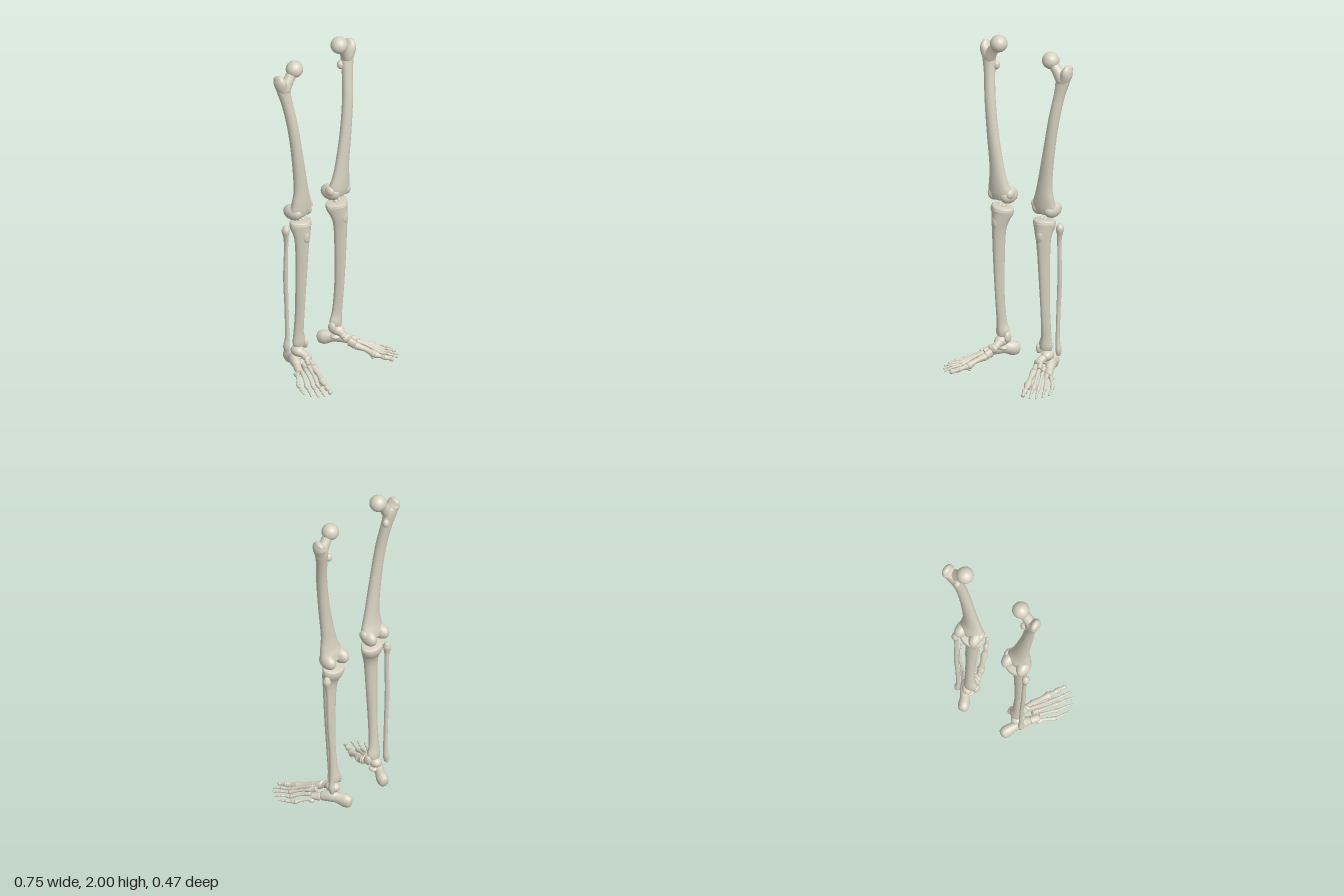
import * as THREE from 'three';

const X = new THREE.Vector3(1, 0, 0), Y = new THREE.Vector3(0, 1, 0);

// Smooth closed bone through stations [x, y, z, a, b]: a is the half-width along
// ref, b the one across it; dome sets the bulge of the ends, keel narrows the front.
function sweep(stations, { ref = X, dome = 0.6, keel = 0, sides = 20, steps = 5 } = {}) {
  const path = new THREE.CatmullRomCurve3(stations.map(s => new THREE.Vector3(s[0], s[1], s[2])), false, 'catmullrom', 0.5);
  const size = new THREE.CatmullRomCurve3(stations.map(s => new THREE.Vector3(s[3], s[4], 0)), false, 'catmullrom', 0.5);
  const n = (stations.length - 1) * steps, capSteps = 4, rings = [];
  const addCap = (t, dir) => {
    const p = path.getPoint(t), d = path.getTangent(t), r = size.getPoint(t);
    const list = [];
    for (let k = 1; k <= capSteps; k++) {
      const q = k / capSteps * Math.PI / 2;
      list.push({
        p: p.clone().addScaledVector(d, dir * Math.sin(q) * dome * Math.min(r.x, r.y)),
        d, a: r.x * Math.cos(q), b: r.y * Math.cos(q)
      });
    }
    return list;
  };
  rings.push(...addCap(0, -1).reverse());
  for (let i = 0; i <= n; i++) {
    const r = size.getPoint(i / n);
    rings.push({ p: path.getPoint(i / n), d: path.getTangent(i / n), a: r.x, b: r.y });
  }
  rings.push(...addCap(1, 1));

  const pos = [], idx = [], last = rings.length - 1;
  const ring = i => 1 + (i - 1) * sides;
  rings.forEach(({ p, d, a, b }, i) => {
    if (i === 0 || i === last) { pos.push(p.x, p.y, p.z); return; }
    const u = ref.clone().addScaledVector(d, -ref.dot(d)).normalize();
    const v = d.clone().cross(u);
    for (let j = 0; j < sides; j++) {
      const q = j / sides * Math.PI * 2;
      const front = Math.max(0, Math.sin(q) * Math.sign(v.z));
      const w = p.clone().addScaledVector(u, Math.cos(q) * a * (1 - keel * front)).addScaledVector(v, Math.sin(q) * b);
      pos.push(w.x, w.y, w.z);
    }
  });
  const end = pos.length / 3 - 1;
  for (let j = 0; j < sides; j++) {
    const k = (j + 1) % sides;
    idx.push(0, ring(1) + k, ring(1) + j, end, ring(last - 1) + j, ring(last - 1) + k);
    for (let i = 1; i < last - 1; i++) {
      const A = ring(i), B = ring(i + 1);
      idx.push(A + j, A + k, B + j, A + k, B + k, B + j);
    }
  }
  const g = new THREE.BufferGeometry();
  g.setAttribute('position', new THREE.Float32BufferAttribute(pos, 3));
  g.setIndex(idx);
  g.computeVertexNormals();
  return g;
}

// Ellipsoid knob
function knob(x, y, z, rx, ry, rz, turn = 0) {
  return new THREE.SphereGeometry(1, 24, 16).scale(rx, ry, rz).rotateY(turn).translate(x, y, z);
}

// Small long bone with flared ends, from p to q
function longBone(p, q, r0, mid, r1, lift = 0) {
  const at = (t, r) => [
    ...p.map((c, i) => c + (q[i] - c) * t + (i === 1 ? lift * Math.sin(t * Math.PI) : 0)), r, r];
  return sweep([at(0, r0), at(0.2, (r0 + mid) / 2), at(0.5, mid), at(0.8, (r1 + mid) / 2), at(0.93, r1), at(1, r1 * 0.8)],
    { ref: Y, sides: 12, steps: 3 });
}

function buildLeg(side, material) {
  const leg = new THREE.Group();
  leg.name = side > 0 ? 'leftLeg' : 'rightLeg';
  const add = (name, g) => {
    if (side < 0) {
      g.scale(-1, 1, 1);
      const ix = g.index.array;
      for (let i = 0; i < ix.length; i += 3) [ix[i], ix[i + 1]] = [ix[i + 1], ix[i]];
      g.computeVertexNormals();
    }
    const m = new THREE.Mesh(g, material);
    m.name = name;
    leg.add(m);
  };

  // Thigh bone
  add('femurShaft', sweep([
    [0.162, 1.025, -0.098, 0.074, 0.044], [0.163, 1.06, -0.092, 0.076, 0.044],
    [0.168, 1.11, -0.085, 0.064, 0.038], [0.176, 1.2, -0.081, 0.047, 0.033],
    [0.205, 1.4, -0.08, 0.036, 0.031], [0.233, 1.6, -0.09, 0.032, 0.031],
    [0.255, 1.75, -0.112, 0.033, 0.031], [0.271, 1.84, -0.127, 0.041, 0.034],
    [0.282, 1.88, -0.13, 0.036, 0.034]], { dome: 0.4, sides: 28 }));
  add('femurHead', knob(0.19, 1.95, -0.115, 0.05, 0.05, 0.05));
  add('femurNeck', sweep([[0.195, 1.942, -0.116, 0.032, 0.034], [0.228, 1.905, -0.118, 0.031, 0.03],
    [0.27, 1.845, -0.122, 0.042, 0.033]], { ref: Y }));
  add('greaterTrochanter', sweep([[0.268, 1.81, -0.125, 0.026, 0.03], [0.287, 1.87, -0.128, 0.034, 0.038],
    [0.297, 1.9, -0.132, 0.029, 0.042], [0.301, 1.925, -0.14, 0.018, 0.032]], { dome: 0.8 }));
  add('lesserTrochanter', knob(0.228, 1.8, -0.14, 0.021, 0.027, 0.02));
  add('medialCondyle', knob(0.114, 1.034, -0.115, 0.038, 0.048, 0.062, 0.1));
  add('lateralCondyle', knob(0.208, 1.034, -0.112, 0.039, 0.046, 0.061, -0.1));
  add('medialEpicondyle', knob(0.092, 1.05, -0.1, 0.02, 0.03, 0.032));

  // Shin bones
  add('tibia', sweep([
    [0.155, 0.162, -0.109, 0.041, 0.031], [0.157, 0.19, -0.108, 0.044, 0.033],
    [0.163, 0.25, -0.105, 0.033, 0.029], [0.166, 0.4, -0.093, 0.029, 0.03],
    [0.166, 0.6, -0.084, 0.035, 0.034], [0.163, 0.8, -0.079, 0.044, 0.039],
    [0.158, 0.88, -0.083, 0.056, 0.048], [0.154, 0.935, -0.096, 0.073, 0.061],
    [0.152, 0.96, -0.098, 0.071, 0.058]], { dome: 0.12, keel: 0.35, sides: 28 }));
  add('tibialTuberosity', knob(0.162, 0.875, -0.05, 0.024, 0.042, 0.018));
  for (const x of [0.14, 0.164]) add('tibialSpine', knob(x, 0.966, -0.1, 0.01, 0.014, 0.018));
  add('medialMalleolus', knob(0.116, 0.158, -0.105, 0.016, 0.033, 0.025));
  add('fibula', sweep([
    [0.216, 0.125, -0.154, 0.011, 0.014], [0.217, 0.16, -0.152, 0.017, 0.02],
    [0.214, 0.22, -0.149, 0.012, 0.014], [0.218, 0.4, -0.15, 0.011, 0.013],
    [0.229, 0.6, -0.148, 0.013, 0.014], [0.231, 0.8, -0.142, 0.011, 0.013],
    [0.236, 0.87, -0.139, 0.014, 0.016], [0.239, 0.915, -0.138, 0.023, 0.024],
    [0.237, 0.938, -0.138, 0.015, 0.017]], { sides: 16 }));

  // Heel, ankle and midfoot
  add('heelBone', sweep([
    [0.138, 0.052, -0.214, 0.037, 0.029], [0.147, 0.056, -0.19, 0.042, 0.033],
    [0.168, 0.066, -0.15, 0.033, 0.027], [0.19, 0.07, -0.115, 0.035, 0.03],
    [0.212, 0.06, -0.075, 0.027, 0.025]], { ref: Y }));
  add('heelShelf', knob(0.16, 0.083, -0.115, 0.033, 0.016, 0.03, 0.3));
  add('talusBody', knob(0.168, 0.124, -0.112, 0.036, 0.032, 0.045, 0.2));
  add('talusHead', sweep([[0.167, 0.118, -0.09, 0.026, 0.028], [0.164, 0.112, -0.067, 0.021, 0.023],
    [0.163, 0.105, -0.05, 0.022, 0.027]], { ref: Y }));
  add('navicular', knob(0.168, 0.098, -0.03, 0.034, 0.026, 0.016, -0.2));
  add('cuboid', sweep([[0.222, 0.056, -0.064, 0.024, 0.024], [0.234, 0.053, -0.045, 0.022, 0.023],
    [0.246, 0.05, -0.024, 0.02, 0.022]], { ref: Y, dome: 0.3 }));
  const cuneiforms = [
    ['medialCuneiform', 0.165, 0.08, -0.016, 0.176, 0.068, 0.016, 0.026, 0.018],
    ['middleCuneiform', 0.19, 0.094, -0.02, 0.2, 0.083, 0.0, 0.019, 0.014],
    ['lateralCuneiform', 0.213, 0.081, -0.028, 0.225, 0.071, -0.002, 0.02, 0.014]];
  for (const [name, x0, y0, z0, x1, y1, z1, h, w] of cuneiforms)
    add(name, sweep([[x0, y0, z0, h, w], [(x0 + x1) / 2, (y0 + y1) / 2, (z0 + z1) / 2, h * 0.93, w * 0.93],
      [x1, y1, z1, h, w]], { ref: Y, dome: 0.3, sides: 14 }));

  // Toes: joint points from metatarsal base to tip, and thickness
  const toes = [
    [[[0.179, 0.064, 0.026], [0.22, 0.028, 0.13], [0.243, 0.02, 0.182], [0.264, 0.013, 0.226]], 0.022],
    [[[0.205, 0.078, 0.01], [0.264, 0.024, 0.13], [0.287, 0.021, 0.175], [0.298, 0.014, 0.2], [0.309, 0.008, 0.222]], 0.0125],
    [[[0.23, 0.068, 0.006], [0.29, 0.021, 0.118], [0.315, 0.018, 0.16], [0.327, 0.012, 0.18], [0.338, 0.007, 0.2]], 0.012],
    [[[0.248, 0.055, -0.006], [0.312, 0.018, 0.087], [0.336, 0.016, 0.13], [0.348, 0.011, 0.148], [0.358, 0.007, 0.164]], 0.0118],
    [[[0.26, 0.038, -0.03], [0.326, 0.016, 0.035], [0.35, 0.014, 0.08], [0.36, 0.01, 0.1], [0.367, 0.007, 0.118]], 0.0125]];
  toes.forEach(([joints, r], t) => {
    for (let i = 0; i < joints.length - 1; i++) {
      const k = r * [1.05, 0.88, 0.72, 0.62][i];
      const p = joints[i].map((c, j) => c + (joints[i + 1][j] - c) * (i ? 0.12 : 0));
      const name = i ? `toe${t + 1}Phalanx${i}` : `metatarsal${t + 1}`;
      add(name, longBone(p, joints[i + 1], k, k * 0.6, k * (i ? 0.85 : 1), i ? 0 : 0.004));
    }
  });
  for (const x of [0.21, 0.228]) add('sesamoid', knob(x, 0.011, 0.122, 0.008, 0.008, 0.011));
  add('outerFootSpur', knob(0.262, 0.034, -0.036, 0.015, 0.013, 0.019, 0.7));
  return leg;
}

export function createModel() {
  const bone = new THREE.MeshStandardMaterial({ color: 0xd6d1c0 });
  bone.name = 'bone';
  const model = new THREE.Group();
  model.name = 'legBones';
  for (const side of [1, -1]) model.add(buildLeg(side, bone));
  return model;
}
